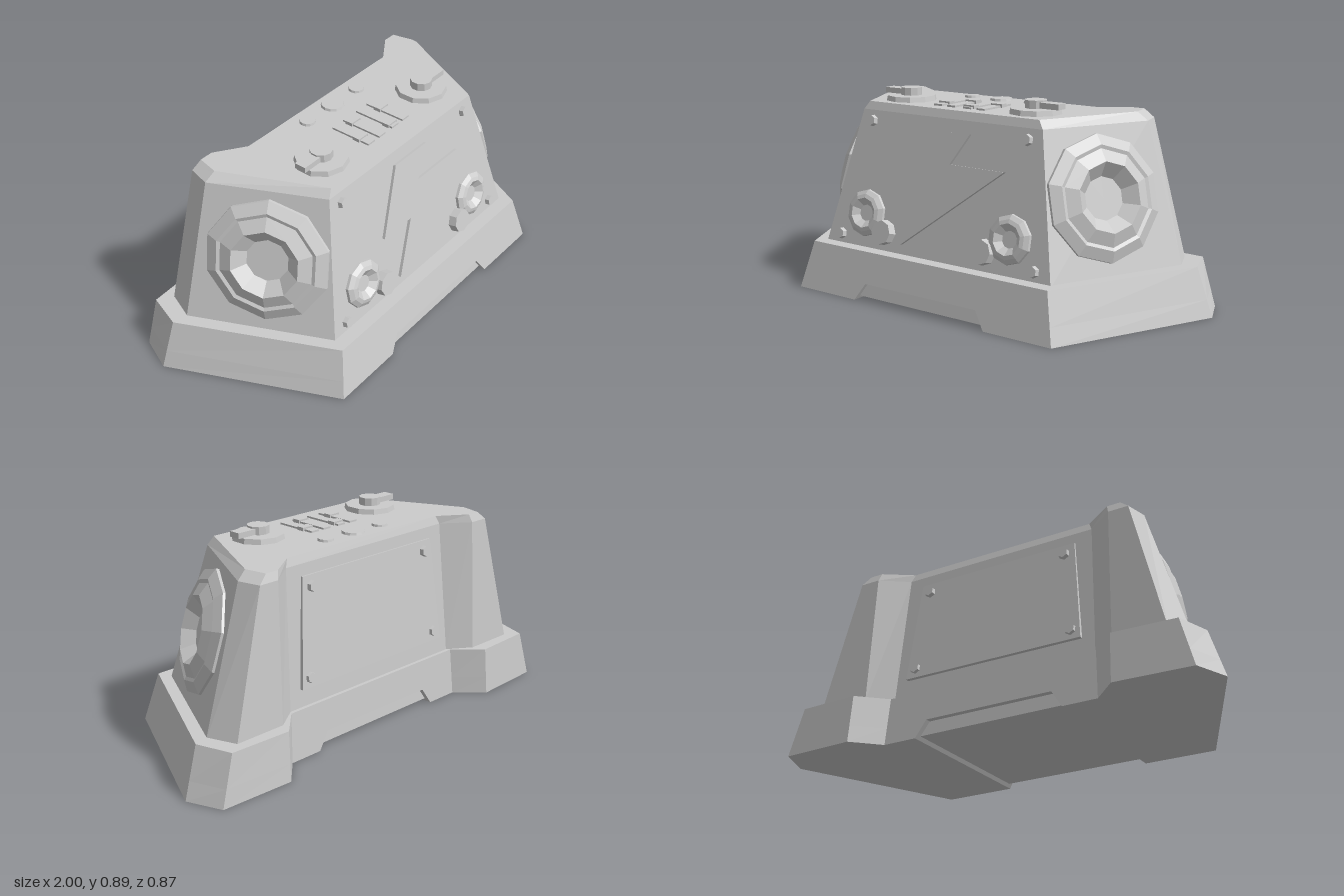
import * as THREE from 'three';

const material = new THREE.MeshStandardMaterial({ color: 0xcccccc, flatShading: true, side: THREE.DoubleSide });

function part(name, geometry, parent, x = 0, y = 0, z = 0) {
  const mesh = new THREE.Mesh(geometry, material);
  mesh.name = name;
  mesh.position.set(x, y, z);
  parent.add(mesh);
  return mesh;
}

// Solid through horizontal outlines: levels = [y, [[x, z], ...]], counterclockwise from above
function loft(levels) {
  const pos = [];
  const tri = (...pts) => pts.forEach(p => pos.push(...p));
  const rings = levels.map(([y, pts]) => pts.map(([x, z]) => [x, y, z]));
  for (let k = 0; k < rings.length - 1; k++) {
    const lo = rings[k], hi = rings[k + 1], n = lo.length;
    for (let i = 0; i < n; i++) {
      const j = (i + 1) % n;
      tri(lo[i], lo[j], hi[j], lo[i], hi[j], hi[i]);
    }
  }
  const cap = (ring, up) => {
    const flat = ring.map(p => new THREE.Vector2(p[0], -p[2]));
    for (const [a, b, c] of THREE.ShapeUtils.triangulateShape(flat, [])) {
      if (up) tri(ring[a], ring[b], ring[c]);
      else tri(ring[a], ring[c], ring[b]);
    }
  };
  cap(rings[0], false);
  cap(rings[rings.length - 1], true);
  const g = new THREE.BufferGeometry();
  g.setAttribute('position', new THREE.Float32BufferAttribute(pos, 3));
  g.computeVertexNormals();
  return g;
}

const flip = pts => pts.map(([x, z]) => [-x, z]).reverse();
const both = pts => [...pts, ...flip(pts)];
const rect = (w, front, back) => [[-w, front], [w, front], [w, back], [-w, back]];

// Turned part whose axis points along +z
const turned = (profile, sides) =>
  new THREE.LatheGeometry(profile.map(p => new THREE.Vector2(...p)), sides).rotateX(Math.PI / 2);
const disc = (r, h, sides, r2 = r) =>
  new THREE.CylinderGeometry(r2, r, h, sides).rotateX(Math.PI / 2);

function aim(mesh, normal) {
  mesh.lookAt(mesh.position.clone().add(new THREE.Vector3(...normal)));
  return mesh;
}

// Sloped front and back walls
const FRONT = [0, 0.21, 1], BACK = [0, 0.09, -1];
const frontZ = y => 0.33 - 0.207 * (y - 0.21);
const backZ = y => -0.295 + 0.078 * (y - 0.21);

export function createModel() {
  const model = new THREE.Group();
  model.name = 'speakerConsole';

  // Flared base: two winged sides joined by a bridge over a shallow channel
  const bottom = [[0.345, 0.435], [0.67, 0.435], [1, -0.27], [0.94, -0.42], [0.61, -0.435], [0.5, -0.325], [0.345, -0.325]];
  const top = [[0.295, 0.39], [0.62, 0.39], [0.93, -0.255], [0.88, -0.408], [0.605, -0.42], [0.49, -0.31], [0.295, -0.31]];
  const notch = bottom.map(([x, z], i) => {
    const t = 0.075 / 0.21;
    return [i % 6 === 0 ? 0.295 : x + (top[i][0] - x) * t, z + (top[i][1] - z) * t];
  });
  const levels = [[0, bottom], [0.075, notch], [0.21, top]];
  part('baseLeft', loft(levels), model);
  part('baseRight', loft(levels.map(([y, p]) => [y, flip(p)])), model);
  part('baseBridge', loft([
    [0.075, rect(0.295, notch[0][1], notch[6][1])],
    [0.21, rect(0.295, 0.39, -0.31)],
  ]), model);
  part('baseCore', loft([
    [0.015, rect(0.34, 0.41, -0.3)],
    [0.12, rect(0.295, 0.39, -0.29)],
  ]), model);

  // Tapered body with rear wings and a chamfered top
  part('body', loft([
    [0.2, both([[0.597, 0.332], [0.868, -0.24], [0.82, -0.365], [0.585, -0.365], [0.48, -0.295]])],
    [0.795, both([[0.47, 0.209], [0.69, -0.24], [0.665, -0.337], [0.575, -0.337], [0.455, -0.25]])],
    [0.83, both([[0.445, 0.197], [0.645, -0.23], [0.625, -0.325], [0.565, -0.325], [0.44, -0.24]])],
  ]), model);

  // Raised zigzag plate on the front
  const zigzag = new THREE.Shape([
    [-0.08, 0.74], [-0.22, 0.47], [-0.043, 0.47], [-0.165, 0.25], [0.32, 0.61], [0.043, 0.61], [0.128, 0.74],
  ].map(([x, y]) => new THREE.Vector2(x, (y - 0.5) * 1.02)));
  const plate = new THREE.ExtrudeGeometry(zigzag, { depth: 0.02, bevelEnabled: false });
  aim(part('zigzagPlate', plate, model, 0, 0.5, frontZ(0.5) - 0.007), FRONT);

  // Rear access panel
  const panelShape = new THREE.Shape([[-0.42, -0.23], [0.42, -0.23], [0.38, 0.23], [-0.38, 0.23]]
    .map(p => new THREE.Vector2(...p)));
  const panel = new THREE.ExtrudeGeometry(panelShape, { depth: 0.02, bevelEnabled: false });
  aim(part('rearPanel', panel, model, 0, 0.515, backZ(0.515) + 0.008), BACK);

  const speaker = turned([[0.265, -0.02], [0.262, 0.012], [0.215, 0.035], [0.2, 0.03], [0.145, 0.055], [0.09, 0.005], [0, 0.005]], 10);
  const tweeter = turned([[0.105, -0.01], [0.102, 0.012], [0.083, 0.025], [0.066, 0.03], [0.036, 0.006], [0, 0.006]], 10);
  const bolt = disc(0.027, 0.03, 6, 0.022);

  for (const s of [-1, 1]) {
    const side = s > 0 ? 'left' : 'right';

    // Side speaker
    aim(part(side + 'Speaker', speaker, model, s * 0.645, 0.51, 0.03), [s * 0.9, 0.27, 0.43]);

    // Front tweeter, knob and bolts
    aim(part(side + 'Tweeter', tweeter, model, s * 0.382, 0.355, frontZ(0.355)), FRONT);
    aim(part(side + 'FrontKnob', disc(0.056, 0.05, 8, 0.052), model, s * 0.265, 0.29, frontZ(0.29) + 0.012), FRONT);
    for (const [x, y] of [[0.408, 0.75], [0.512, 0.25]])
      aim(part(side + 'FrontBolt', bolt, model, s * x, y, frontZ(y) + 0.005), FRONT);

    // Rear bolts
    for (const [x, y] of [[0.335, 0.7], [0.375, 0.33]])
      aim(part(side + 'RearBolt', bolt, model, s * x, y, backZ(y) - 0.012), BACK);

    // Top dial with pointer handle
    const dial = new THREE.Group();
    dial.name = side + 'Dial';
    dial.position.set(s * 0.33, 0.83, 0.052);
    part('dialPlate', new THREE.CylinderGeometry(0.108, 0.114, 0.03, 10), dial, 0, 0.007, 0);
    part('dialKnob', new THREE.CylinderGeometry(0.047, 0.047, 0.04, 10), dial, 0, 0.036, 0);
    part('dialHandle', new THREE.BoxGeometry(0.125, 0.024, 0.052), dial, s * 0.065, 0.036, 0);
    model.add(dial);
  }

  // Top buttons
  for (const [x, r] of [[-0.16, 0.037], [0, 0.054], [0.16, 0.037]])
    part('topButton', new THREE.CylinderGeometry(r * 0.88, r, 0.02, 12), model, x, 0.83, -0.168);

  // Sliders: a low rail with a raised thumb
  for (const [x, z] of [[-0.115, 0.075], [-0.045, -0.02], [0.04, 0.105], [0.11, 0.005]]) {
    part('sliderRail', new THREE.BoxGeometry(0.042, 0.014, 0.19), model, x, 0.831, 0.04);
    part('sliderThumb', new THREE.BoxGeometry(0.056, 0.022, 0.035), model, x, 0.834, z);
  }

  return model;
}
